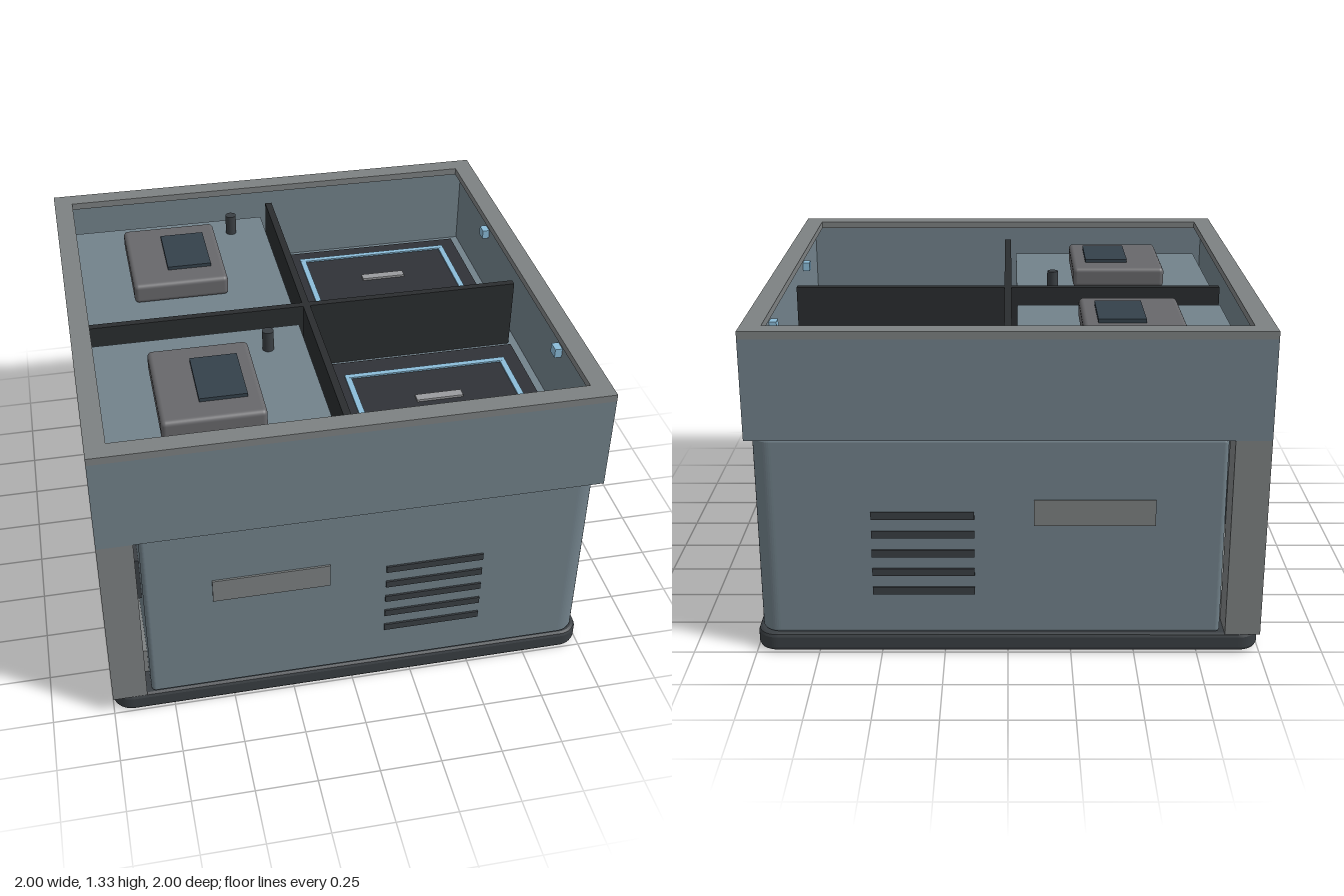
import * as THREE from 'three';
import { RoundedBoxGeometry } from 'three/addons/geometries/RoundedBoxGeometry.js';

const mat = (color, extra = {}) => new THREE.MeshStandardMaterial({ color, ...extra });
const M = {
  shell: mat(0x72828b), grey: mat(0x7d8182), dark: mat(0x3a3f43), pad: mat(0x303237),
  divider: mat(0x2a2d2f), blue: mat(0x8bbcd9), device: mat(0x68686b), screen: mat(0x34414b),
  cream: mat(0xc9c8be), bar: mat(0x9a9b9e),
};

export function createModel() {
  const model = new THREE.Group();

  const add = (name, geometry, material, x = 0, y = 0, z = 0, parent = model) => {
    const mesh = new THREE.Mesh(geometry, material);
    mesh.name = name;
    mesh.position.set(x, y, z);
    parent.add(mesh);
    return mesh;
  };
  // Box given by its minimum and maximum on each axis
  const box = (name, material, x0, x1, y0, y1, z0, z1, parent) =>
    add(name, new THREE.BoxGeometry(x1 - x0, y1 - y0, z1 - z0), material,
      (x0 + x1) / 2, (y0 + y1) / 2, (z0 + z1) / 2, parent);

  // Upright slab with rounded corners in plan (rL at -x, rR at +x) and bevelled rims
  const slab = (name, material, x0, x1, y0, y1, halfZ, rL, rR, bevel) => {
    const a = x0 + bevel, b = x1 - bevel, h = halfZ - bevel;
    const s = new THREE.Shape();
    s.moveTo(a + rL, -h);
    s.lineTo(b - rR, -h);
    s.absarc(b - rR, -h + rR, rR, -Math.PI / 2, 0);
    s.lineTo(b, h - rR);
    s.absarc(b - rR, h - rR, rR, 0, Math.PI / 2);
    s.lineTo(a + rL, h);
    s.absarc(a + rL, h - rL, rL, Math.PI / 2, Math.PI);
    s.lineTo(a, -h + rL);
    s.absarc(a + rL, -h + rL, rL, Math.PI, Math.PI * 1.5);
    const g = new THREE.ExtrudeGeometry(s, {
      depth: y1 - y0 - 2 * bevel, bevelEnabled: true, bevelSize: bevel,
      bevelThickness: bevel, bevelSegments: 2, curveSegments: 8,
    });
    g.rotateX(-Math.PI / 2);
    add(name, g, material, 0, y0 + bevel, 0);
  };

  // Base, feet and main body
  slab('base', M.dark, -1, 1, 0.005, 0.08, 1, 0.07, 0.07, 0.015);
  for (const x of [-0.86, 0.86]) for (const z of [-0.86, 0.86])
    add('foot', new THREE.CylinderGeometry(0.05, 0.05, 0.02, 24), M.dark, x, 0.01, z);
  slab('body', M.shell, -0.84, 0.98, 0.085, 0.9, 0.99, 0.01, 0.07, 0.01);

  // Upper tray: floor, walls and rim
  box('trayFloor', M.shell, -0.96, 0.96, 0.9, 0.93, -0.96, 0.96);
  for (const s of [-1, 1]) {
    box('trayWall', M.shell, -1, 1, 0.9, 1.3, Math.min(s, s * 0.96), Math.max(s, s * 0.96));
    box('traySideWall', M.shell, Math.min(s, s * 0.96), Math.max(s, s * 0.96), 0.9, 1.3, -0.96, 0.96);
    box('rim', M.grey, -1, 1, 1.3, 1.33, Math.min(s, s * 0.92), Math.max(s, s * 0.92));
    box('sideRim', M.grey, Math.min(s, s * 0.92), Math.max(s, s * 0.92), 1.3, 1.33, -0.92, 0.92);
  }

  // Cross divider
  box('dividerAcross', M.divider, -0.92, 0.92, 0.93, 1.24, -0.015, 0.015);
  box('dividerAlong', M.divider, -0.015, 0.015, 0.93, 1.24, -0.92, 0.92);
  box('dividerClip', M.dark, -0.86, -0.835, 0.93, 1.15, -0.04, 0.04);

  // Two rows of compartments: a raised deck on the right, a deep bay on the left
  for (const z of [-0.5, 0.5]) {
    const row = new THREE.Group();
    row.name = 'compartmentRow';
    row.position.z = z;
    model.add(row);
    const inner = z < 0 ? [-0.42, 0.455] : [-0.455, 0.42];
    box('deck', M.shell, -0.92, -0.04, 0.93, 1.17, ...inner, row);
    add('device', new RoundedBoxGeometry(0.41, 0.09, 0.5, 3, 0.02), M.device, -0.5, 1.215, 0, row);
    box('deviceScreen', M.screen, -0.545, -0.355, 1.25, 1.275, -0.14, 0.14, row);
    add('peg', new THREE.CylinderGeometry(0.024, 0.024, 0.09, 20), M.dark, -0.2, 1.215, -0.3, row);

    box('bayPad', M.pad, 0.04, 0.92, 0.93, 0.945, ...inner, row);
    for (const s of [-1, 1]) {
      box('bayOutline', M.blue, 0.14, 0.855, 0.945, 0.952, s * 0.343 - 0.0125, s * 0.343 + 0.0125, row);
      box('bayOutlineSide', M.blue, 0.4975 + s * 0.345 - 0.0125, 0.4975 + s * 0.345 + 0.0125,
        0.945, 0.952, -0.33, 0.33, row);
      box('bayContact', M.bar, 0.4, 0.6, 0.945, 0.955, s * 0.132 - 0.02, s * 0.132 + 0.02, row);
    }
    box('baySensor', M.blue, 0.93, 0.965, 1.19, 1.23, -0.025, 0.025, row);
  }

  // Vents and grip plate on the front and back
  for (const s of [-1, 1]) {
    const face = new THREE.Group();
    face.name = s > 0 ? 'frontDetails' : 'backDetails';
    model.add(face);
    const z0 = Math.min(s * 0.97, s * 0.998), z1 = Math.max(s * 0.97, s * 0.998);
    box('gripPlate', M.grey, -0.57, -0.1, 0.55, 0.655, z0, z1, face);
    for (let i = 0; i < 5; i++)
      box('vent', M.dark, 0.13, 0.53, 0.255 + i * 0.08, 0.285 + i * 0.08, z0, z1, face);
  }

  // Light strip, buttons and dial on the left side
  box('lightStrip', M.blue, 0.97, 0.995, 0.765, 0.82, -0.665, 0.665);
  for (const z of [0.135, 0.405])
    box('button', M.cream, 0.97, 1, 0.6, 0.678, z - 0.04, z + 0.04);
  box('dialPlate', M.device, 0.97, 0.99, 0.2, 0.47, -0.8, -0.535);
  add('dial', new THREE.CylinderGeometry(0.08, 0.08, 0.03, 32).rotateZ(Math.PI / 2),
    M.screen, 0.985, 0.335, -0.667);

  // Open service recess on the right side: posts, sill, shelf and gussets
  for (const s of [-1, 1])
    box('post', M.grey, -1, -0.86, 0.08, 0.9, Math.min(s, s * 0.87), Math.max(s, s * 0.87));
  box('sill', M.grey, -1, -0.84, 0.08, 0.2, -0.87, 0.87);
  box('shelf', M.dark, -0.965, -0.835, 0.5, 0.7, -0.87, 0.87);
  box('shelfLight', M.blue, -0.985, -0.96, 0.54, 0.6, -0.85, 0.85);
  box('shelfTab', M.blue, -0.97, -0.89, 0.7, 0.74, 0.63, 0.76);
  const gusset = new THREE.Shape([
    new THREE.Vector2(-0.84, 0.22), new THREE.Vector2(-0.84, 0.5),
    new THREE.Vector2(-0.96, 0.5), new THREE.Vector2(-0.9, 0.22),
  ]);
  for (const z of [-0.36, 0.32])
    add('gusset', new THREE.ExtrudeGeometry(gusset, { depth: 0.04, bevelEnabled: false }), M.grey, 0, 0, z);

  return model;
}
